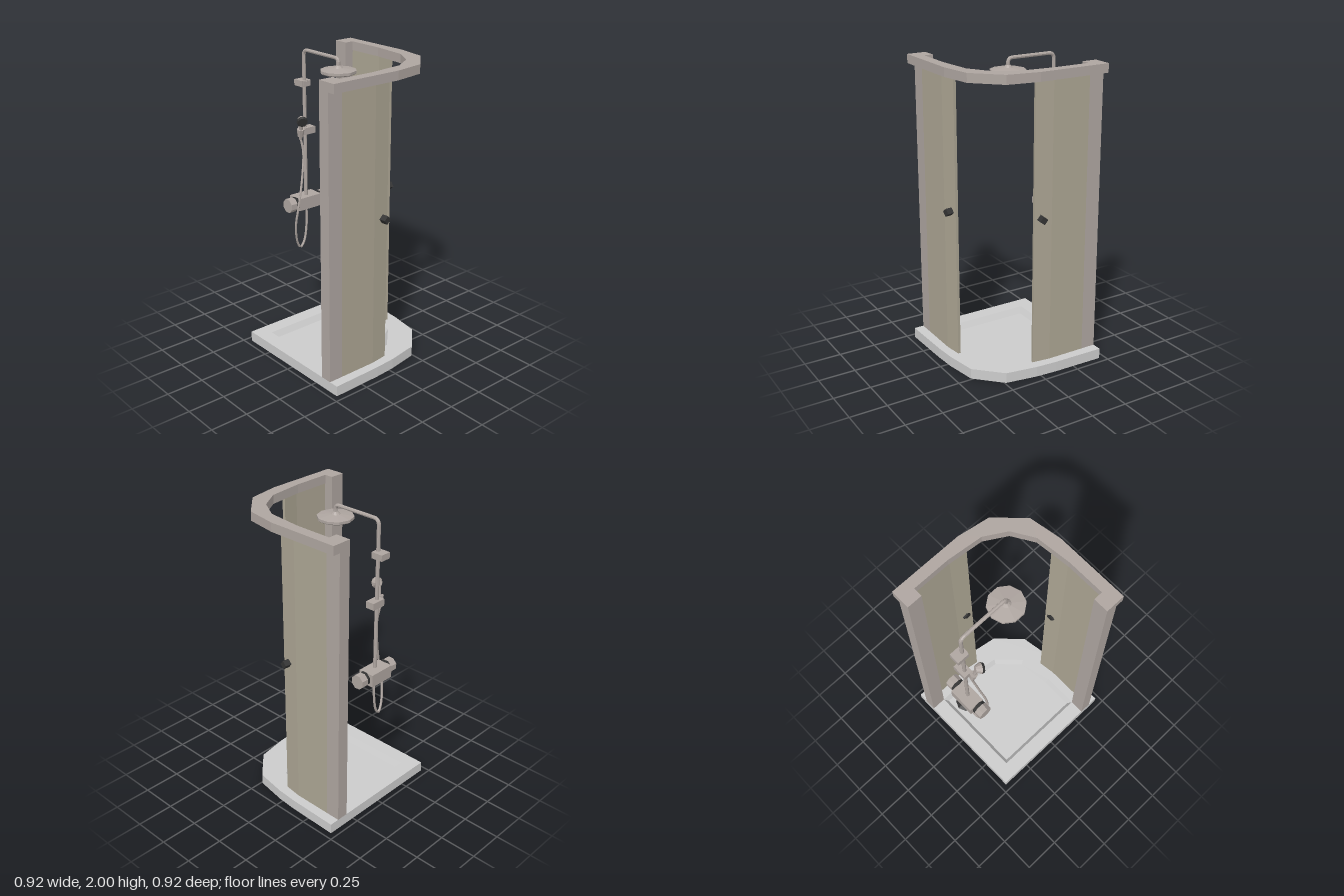
import * as THREE from 'three';

const mat = (color) => new THREE.MeshStandardMaterial({ color, flatShading: true, side: THREE.DoubleSide });
const V = (x, y, z) => new THREE.Vector3(x, y, z);
const UP = V(0, 1, 0);

export function createModel() {
  const root = new THREE.Group();
  const white = mat(0xcccccc), metal = mat(0xaea5a0), glass = mat(0xaca593), dark = mat(0x333333);

  const add = (name, geometry, material, parent = root) => {
    const mesh = new THREE.Mesh(geometry, material);
    mesh.name = name;
    parent.add(mesh);
    return mesh;
  };
  // Floor-plan outline [x, z] raised from y0 to y1, with an optional hole
  const prism = (name, plan, y0, y1, material, hole) => {
    const pts = (p) => p.map(([x, z]) => new THREE.Vector2(x, -z));
    const shape = new THREE.Shape(pts(plan));
    if (hole) shape.holes.push(new THREE.Path(pts(hole)));
    const g = new THREE.ExtrudeGeometry(shape, { depth: y1 - y0, bevelEnabled: false });
    g.rotateX(-Math.PI / 2).translate(0, y0, 0);
    return add(name, g, material);
  };
  // Box given by its limits
  const box = (name, x0, x1, y0, y1, z0, z1, material) => {
    const g = new THREE.BoxGeometry(x1 - x0, y1 - y0, z1 - z0);
    return add(name, g.translate((x0 + x1) / 2, (y0 + y1) / 2, (z0 + z1) / 2), material);
  };
  // Cylinder between two points
  const rod = (name, a, b, r0, r1, sides, material) => {
    const d = b.clone().sub(a);
    const mesh = add(name, new THREE.CylinderGeometry(r1, r0, d.length(), sides), material);
    mesh.position.copy(a).add(b).multiplyScalar(0.5);
    mesh.quaternion.setFromUnitVectors(UP, d.normalize());
    return mesh;
  };
  // The enclosure is symmetric about the diagonal x = z
  const swap = (p) => p.map(([x, z]) => [z, x]);
  const mirrored = (half) => [...half, ...swap(half).reverse()];

  // Tray: slab, raised rim and sloped basin wall
  const trayPlan = [[-0.46, -0.46], ...mirrored([[0.457, -0.46], [0.45, -0.11], [0.44, 0.03], [0.405, 0.24]])];
  const basinTop = [[-0.36, -0.36], ...mirrored([[0.31, -0.36], [0.31, -0.11], [0.28, 0.128]])];
  const basinFloor = [[-0.335, -0.335], ...mirrored([[0.287, -0.335], [0.287, -0.11], [0.258, 0.116]])];
  const floorY = 0.03, trayY = 0.07;
  prism('trayBase', trayPlan, 0, floorY, white);
  prism('trayRim', trayPlan, floorY, trayY, white, basinTop);
  const wall = [], index = [], n = basinTop.length;
  for (let i = 0; i < n; i++) {
    wall.push(basinTop[i][0], trayY, basinTop[i][1], basinFloor[i][0], floorY, basinFloor[i][1]);
    const a = 2 * i, b = 2 * ((i + 1) % n);
    index.push(a, a + 1, b, b, a + 1, b + 1);
  }
  const wallGeo = new THREE.BufferGeometry();
  wallGeo.setAttribute('position', new THREE.Float32BufferAttribute(wall, 3));
  wallGeo.setIndex(index);
  wallGeo.computeVertexNormals();
  add('basinWall', wallGeo, white);
  add('drain', new THREE.CylinderGeometry(0.05, 0.075, 0.015, 8), dark).position.set(0.195, floorY + 0.008, -0.245);

  // Curved top rail with hooked ends
  const outer = mirrored([[0.44, -0.46], [0.44, 0.03], [0.405, 0.24]]);
  const inner = mirrored([[0.31, -0.46], [0.31, -0.36], [0.37, -0.36], [0.37, -0.11], [0.345, 0.125], [0.26, 0.26]].slice(0, 5).concat([[0.262, 0.262]]));
  prism('topRail', [...outer, ...inner.reverse()], 1.932, 1.99, metal);

  // Wall posts, glass panels and door knobs on both sides
  const post = [[0.31, -0.46], [0.39, -0.46], [0.39, -0.36], [0.31, -0.36]];
  const panel = [[0.39, -0.36], [0.39, -0.1], [0.375, 0.02], [0.356, 0.018], [0.372, -0.1], [0.372, -0.36]];
  for (const [side, f] of [['left', (p) => p], ['front', swap]]) {
    prism(side + 'Post', f(post), trayY, 1.935, metal);
    prism(side + 'Panel', f(panel), trayY, 1.935, glass);
    const [[ax, az], [bx, bz]] = f([[0.35, -0.03], [0.424, -0.021]]);
    rod(side + 'Knob', V(ax, 1.06, az), V(bx, 1.06, bz), 0.028, 0.028, 4, dark);
  }

  // Mixer valve: central body, dark bands and end handles
  const cx = -0.025, cz = -0.38;
  box('valveBody', -0.115, 0.065, 0.915, 1.0, -0.44, -0.332, metal);
  for (const s of [-1, 1]) {
    const at = (d) => V(cx + s * d, 0.957, -0.376);
    for (const [name, a, b, r, m] of [['valveBand', 0.088, 0.111, 0.047, dark], ['valveHandle', 0.111, 0.16, 0.049, metal]]) {
      rod(name, at(a), at(b), r, r, 8, m).rotateY(Math.PI / 8);
    }
  }

  // Riser with curved arm and rain head
  const riser = new THREE.CurvePath();
  const bend = (a, b, c) => riser.add(new THREE.QuadraticBezierCurve3(a, b, c));
  const line = (a, b) => riser.add(new THREE.LineCurve3(a, b));
  const top = 1.988, hz = -0.037;
  line(V(cx, 0.99, cz), V(cx, top - 0.04, cz));
  bend(V(cx, top - 0.04, cz), V(cx, top, cz), V(cx, top, cz + 0.04));
  line(V(cx, top, cz + 0.04), V(cx, top, hz - 0.03));
  bend(V(cx, top, hz - 0.03), V(cx, top, hz), V(cx, top - 0.03, hz));
  line(V(cx, top - 0.03, hz), V(cx, 1.92, hz));
  add('riserPipe', new THREE.TubeGeometry(riser, 120, 0.012, 8), metal);
  const head = [[0, 1.895], [0.105, 1.895], [0.115, 1.902], [0.115, 1.918], [0.03, 1.93], [0.015, 1.945], [0, 1.945]];
  add('rainHead', new THREE.LatheGeometry(head.map(([x, y]) => new THREE.Vector2(x, y)), 10), metal).position.set(cx, 0, hz);

  // Wall bracket and sliding holder
  box('wallBracket', -0.06, 0.012, 1.75, 1.79, -0.44, -0.36, metal);
  box('bracketCollar', -0.048, -0.002, 1.755, 1.785, -0.4, -0.355, metal);
  box('slider', -0.06, 0.038, 1.43, 1.475, -0.41, -0.35, metal);
  rod('sliderHolder', V(-0.075, 1.425, -0.365), V(-0.08, 1.475, -0.355), 0.02, 0.025, 8, metal);

  // Hand shower
  rod('handsetGrip', V(-0.07, 1.4, -0.37), V(-0.09, 1.535, -0.335), 0.01, 0.014, 8, metal);
  rod('handsetBack', V(-0.083, 1.55, -0.345), V(-0.098, 1.54, -0.315), 0.02, 0.037, 10, metal);
  rod('handsetFace', V(-0.098, 1.54, -0.315), V(-0.105, 1.535, -0.301), 0.037, 0.032, 10, dark);

  // Hanging hose
  const hose = new THREE.CatmullRomCurve3([
    V(-0.07, 1.41, -0.37), V(-0.062, 1.31, -0.355), V(-0.09, 1.15, -0.335), V(-0.135, 0.97, -0.317),
    V(-0.15, 0.82, -0.335), V(-0.12, 0.68, -0.36), V(-0.085, 0.633, -0.37), V(-0.05, 0.67, -0.375), V(cx, 0.8, -0.378), V(cx, 0.92, -0.378),
  ]);
  add('hose', new THREE.TubeGeometry(hose, 48, 0.008, 6), metal);

  return root;
}
